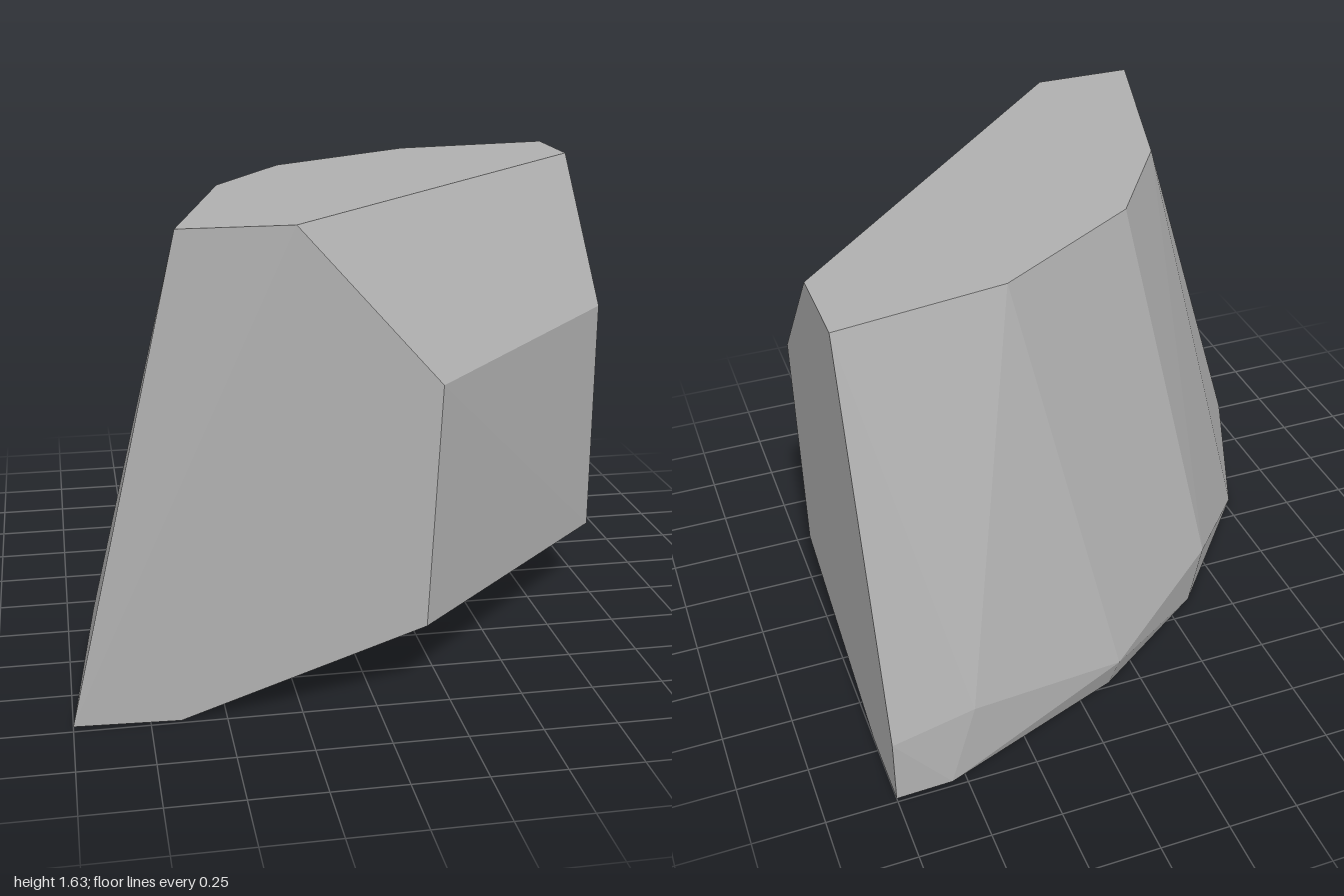
import * as THREE from 'three';
import { ConvexGeometry } from 'three/addons/geometries/ConvexGeometry.js';

// Turns [x, z] corners at one height into points
const ring = (y, corners) => corners.map(([x, z]) => new THREE.Vector3(x, y, z));

export function createModel() {
  const group = new THREE.Group();
  group.name = 'cornerRock';

  const stone = new THREE.MeshStandardMaterial({ color: 0xb0b0b0 });
  stone.name = 'grey stone';

  const points = [
    // flat top
    ...ring(1.63, [[1, -0.27], [1, -0.6], [0.4, -0.51], [-0.15, -0.17],
      [-0.42, 0.23], [-0.63, 0.985], [-0.26, 0.985]]),
    // uneven shoulder around the curved back
    new THREE.Vector3(1, 0.25, -0.985),
    new THREE.Vector3(0.7, 0.28, -0.95),
    new THREE.Vector3(0.1, 0.14, -0.78),
    new THREE.Vector3(-0.39, 0.25, -0.43),
    new THREE.Vector3(-0.91, 0.2, 0.5),
    new THREE.Vector3(-1, 0.01, 0.985),
    // diagonal inner face
    new THREE.Vector3(0.21, 1.1, 0.985),
    new THREE.Vector3(1, 1.13, 0.19),
    new THREE.Vector3(0.17, 0.27, 0.985),
    new THREE.Vector3(1, 0.26, 0.18),
    // base
    ...ring(0, [[1, -0.69], [1, -0.985], [0.8, -0.98], [0.12, -0.73],
      [-0.35, -0.41], [-0.65, 0.985]]),
    new THREE.Vector3(-0.77, 0.015, 0.09),
  ];

  const rock = new THREE.Mesh(new ConvexGeometry(points), stone);
  rock.name = 'rock';
  group.add(rock);
  return group;
}
